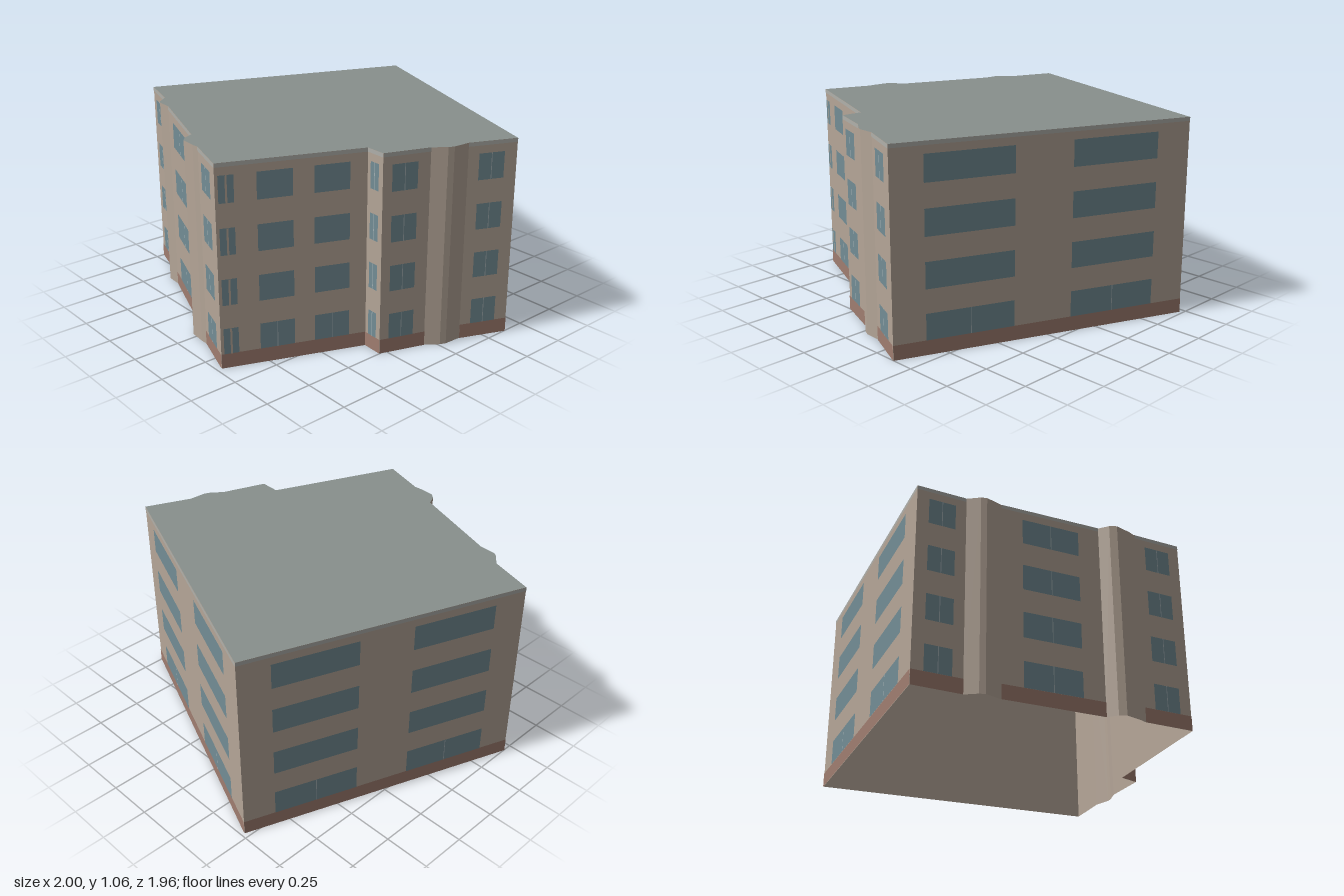
import * as THREE from 'three';

const HEIGHT = 1.057, PLINTH = 0.077, FLOORS = 4;

const paint = (color, side = THREE.FrontSide) => new THREE.MeshStandardMaterial({ color, side });
const wallMat = paint(0xb5a698, THREE.DoubleSide);
const roofMat = paint(0x88908d, THREE.DoubleSide);
const plinthMat = paint(0xa07d70);
const glassMat = paint(0x738d95);
const trimMat = paint(0xb0b0ab);
const mullionMat = paint(0xa3b1b5);

// Footprint corners, front wall from left to right, then round the building.
// Each entry: x, z and, for the straight facade starting there, its windows as
// [start, end] fractions of the facade and which floors have a mullion.
const outline = [
  { x: -1, z: 0.45, windows: [[0.24, 0.78]], mullions: 'all' },
  { x: -0.755, z: 0.53 },
  { x: -0.71, z: 0.588 },
  { x: -0.685, z: 0.605 },
  { x: -0.594, z: 0.61, windows: [[0.21, 0.78]], mullions: 'all' },
  { x: -0.085, z: 0.8 },
  { x: -0.06, z: 0.855 },
  { x: -0.03, z: 0.882 },
  { x: 0.06, z: 0.89 },
  { x: 0.1, z: 0.888, windows: [[0.22, 0.76]], mullions: 'all' },
  { x: 0.353, z: 0.973, windows: [[0.02, 0.12], [0.265, 0.5], [0.64, 0.88]], mullions: 'ground' },
  { x: 0.636, z: 0.283, windows: [[0.22, 0.76]], mullions: 'all' },
  { x: 0.747, z: 0.289, windows: [[0.19, 0.73]], mullions: 'all' },
  { x: 0.83, z: 0.055 },
  { x: 0.88, z: -0.01 },
  { x: 0.893, z: -0.04 },
  { x: 0.898, z: -0.134, windows: [[0.22, 0.74]], mullions: 'all' },
  { x: 1, z: -0.375, windows: [[0.105, 0.395], [0.59, 0.885]], mullions: 'ground' },
  { x: -0.47, z: -0.98, windows: [[0.11, 0.405], [0.595, 0.89]], mullions: 'ground' },
];

// Upright rectangle in a facade's own plane
function panel(group, name, material, x0, x1, y0, y1, depth) {
  const mesh = new THREE.Mesh(new THREE.PlaneGeometry(x1 - x0, y1 - y0), material);
  mesh.position.set((x0 + x1) / 2, (y0 + y1) / 2, depth);
  mesh.name = name;
  group.add(mesh);
}

function buildFacade(a, b) {
  const facade = new THREE.Group();
  const length = Math.hypot(b.x - a.x, b.z - a.z);
  facade.position.set(a.x, 0, a.z);
  facade.rotation.y = Math.atan2(a.z - b.z, b.x - a.x);
  facade.name = a.windows ? 'facade' : 'bayWall';
  panel(facade, 'wall', wallMat, 0, length, 0, HEIGHT, 0);
  if (!a.windows) return facade;

  // Plinth and roof edge run along the straight facades only
  panel(facade, 'plinth', plinthMat, 0, length, 0, PLINTH, 0.002);
  panel(facade, 'roofEdge', trimMat, 0, length, HEIGHT - 0.02, HEIGHT, 0.002);

  // One row of windows per floor
  for (let floor = 0; floor < FLOORS; floor++) {
    const y0 = PLINTH + floor * 0.261, y1 = y0 + 0.137;
    for (const [s, e] of a.windows) {
      panel(facade, 'window', glassMat, s * length, e * length, y0, y1, 0.003);
      if (a.mullions === 'all' || floor === 0) {
        const mid = (s + e) / 2 * length;
        panel(facade, 'mullion', mullionMat, mid - 0.002, mid + 0.002, y0, y1, 0.004);
      }
    }
  }
  // The narrow corner windows have a wider post between their panes
  if (a.windows.length === 3) {
    const mid = (a.windows[0][0] + a.windows[0][1]) / 2 * length;
    for (let floor = 0; floor < FLOORS; floor++) {
      const y0 = PLINTH + floor * 0.261;
      panel(facade, 'windowPost', wallMat, mid - 0.005, mid + 0.005, y0, y0 + 0.137, 0.005);
    }
  }
  return facade;
}

export function createModel() {
  const building = new THREE.Group();
  building.name = 'apartmentBuilding';

  // Walls, open underneath
  outline.forEach((a, i) => building.add(buildFacade(a, outline[(i + 1) % outline.length])));

  // Flat roof
  const shape = new THREE.Shape(outline.map(p => new THREE.Vector2(p.x, -p.z)));
  const roof = new THREE.Mesh(new THREE.ShapeGeometry(shape).rotateX(-Math.PI / 2), roofMat);
  roof.position.y = HEIGHT;
  roof.name = 'roof';
  building.add(roof);

  return building;
}
